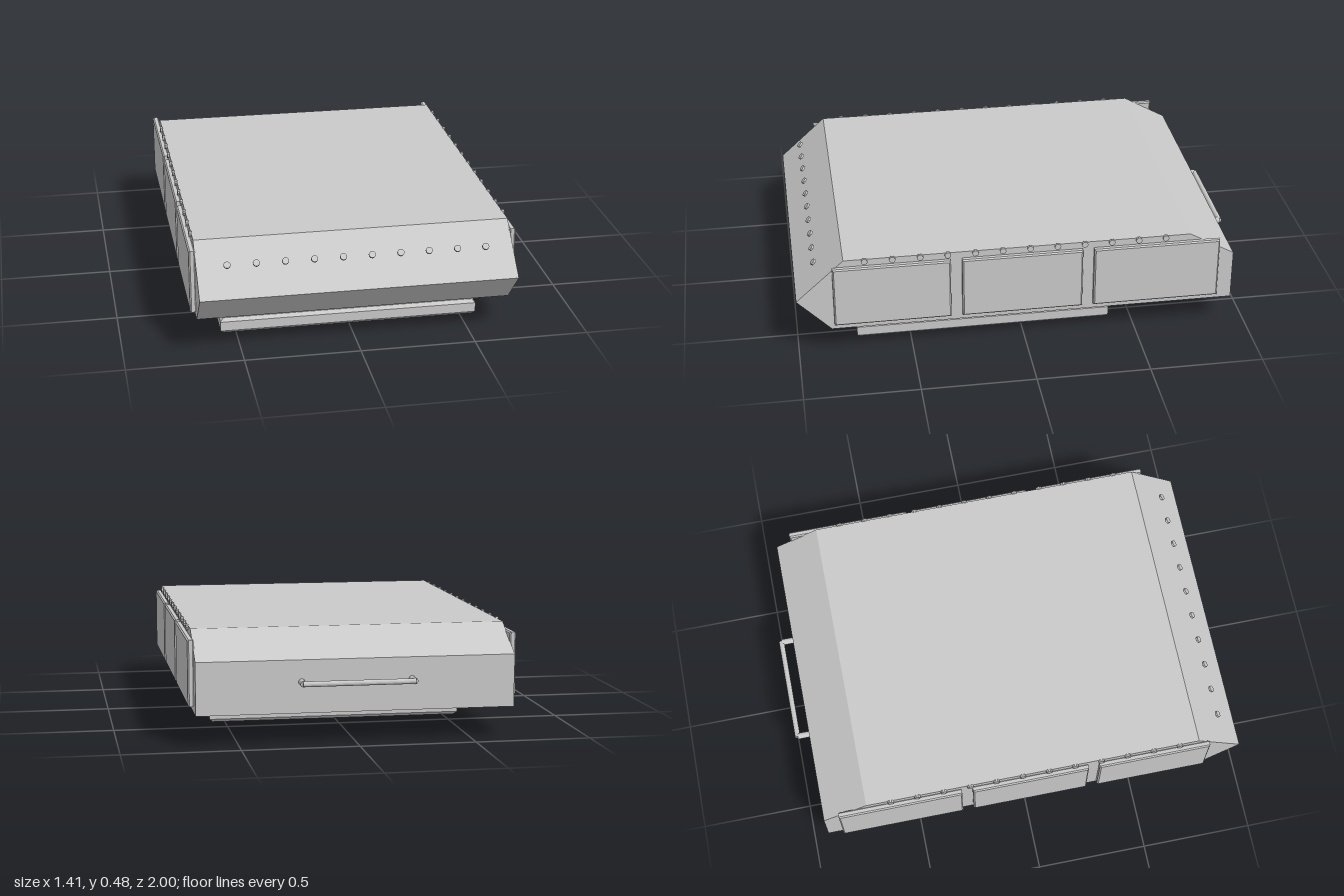
import * as THREE from 'three';

const steel = new THREE.MeshStandardMaterial({ color: 0xc9c9c9, flatShading: true });
steel.name = 'light grey steel';

function add(parent, name, geometry, x = 0, y = 0, z = 0) {
  const mesh = new THREE.Mesh(geometry, steel);
  mesh.name = name;
  mesh.position.set(x, y, z);
  parent.add(mesh);
  return mesh;
}

function group(parent, name) {
  const g = new THREE.Group();
  g.name = name;
  parent.add(g);
  return g;
}

// Slab w by h, centred, with its thickness d along z and chamfered rims
function chamferedSlab(w, h, d, bevel) {
  const x = w / 2 - bevel, y = h / 2 - bevel;
  const shape = new THREE.Shape([[-x, -y], [x, -y], [x, y], [-x, y]].map(p => new THREE.Vector2(...p)));
  const geo = new THREE.ExtrudeGeometry(shape, {
    depth: d - 2 * bevel, bevelEnabled: true, bevelSegments: 1, bevelSize: bevel, bevelThickness: bevel,
  });
  return geo.translate(0, 0, bevel - d / 2);
}

export function createModel() {
  const model = new THREE.Group();
  model.name = 'armouredModule';

  // Wedge-nosed hull, side profile as (z, y) extruded across x
  const profile = [[1, 0.286], [0.79, 0.475], [-0.73, 0.475], [-0.93, 0.362], [-0.93, 0.135], [0.852, 0.135]];
  const hullShape = new THREE.Shape(profile.map(([z, y]) => new THREE.Vector2(-z, y)));
  const hullGeo = new THREE.ExtrudeGeometry(hullShape, { depth: 1.364, bevelEnabled: false });
  hullGeo.translate(0, 0, -0.682).rotateY(Math.PI / 2);
  add(model, 'hull', hullGeo);

  // Side armour panels and the bolts along the roof edge
  const sideBoltGeo = new THREE.CylinderGeometry(0.014, 0.014, 0.012, 10).rotateZ(Math.PI / 2);
  for (const [label, s] of [['left', 1], ['right', -1]]) {
    const panels = group(model, label + 'SidePanels');
    for (const [z0, z1] of [[0.33, 0.84], [-0.25, 0.28], [-0.86, -0.3]]) {
      const geo = chamferedSlab(z1 - z0, 0.282, 0.028, 0.006).rotateY(Math.PI / 2);
      add(panels, 'sidePanel', geo, s * 0.693, 0.305, (z0 + z1) / 2);
    }
    const bolts = group(model, label + 'RoofBolts');
    for (let i = 0; i < 12; i++) add(bolts, 'roofBolt', sideBoltGeo, s * 0.685, 0.466, 0.7 - i * 0.12);
  }

  // Row of bolt heads in front of the sloping nose
  const noseBolts = group(model, 'noseBolts');
  const noseBoltGeo = new THREE.CylinderGeometry(0.015, 0.015, 0.01, 10).rotateX(0.87);
  for (let i = 0; i < 10; i++) add(noseBolts, 'noseBolt', noseBoltGeo, -0.555 + i * 0.1233, 0.405, 0.914);

  // Rear grab handle
  const handle = group(model, 'rearHandle');
  add(handle, 'handleBar', new THREE.CylinderGeometry(0.012, 0.012, 0.48, 16).rotateZ(Math.PI / 2), 0, 0.268, -0.988);
  for (const s of [-1, 1]) {
    add(handle, 'handlePost', new THREE.CylinderGeometry(0.014, 0.014, 0.06, 16).rotateX(Math.PI / 2), s * 0.236, 0.268, -0.957);
  }

  // Octagonal pedestal on a chamfered mounting plate
  const base = group(model, 'mount');
  base.position.z = 0.17;
  add(base, 'pedestal', new THREE.CylinderGeometry(0.53, 0.53, 0.09, 8), 0, 0.1, 0);
  add(base, 'mountingPlate', chamferedSlab(1.136, 1.136, 0.07, 0.014).rotateX(Math.PI / 2), 0, 0.035, 0);

  // Hex bolts with washers round the edge of the plate
  const washerGeo = new THREE.CylinderGeometry(0.04, 0.04, 0.012, 12);
  const headGeo = new THREE.CylinderGeometry(0.033, 0.033, 0.034, 6).rotateY(Math.PI / 6);
  for (let i = -2; i <= 2; i++) {
    for (let j = -2; j <= 2; j++) {
      if (Math.max(Math.abs(i), Math.abs(j)) < 2) continue;
      add(base, 'plateWasher', washerGeo, i * 0.251, 0.074, j * 0.251);
      add(base, 'plateBolt', headGeo, i * 0.251, 0.095, j * 0.251);
    }
  }
  return model;
}
